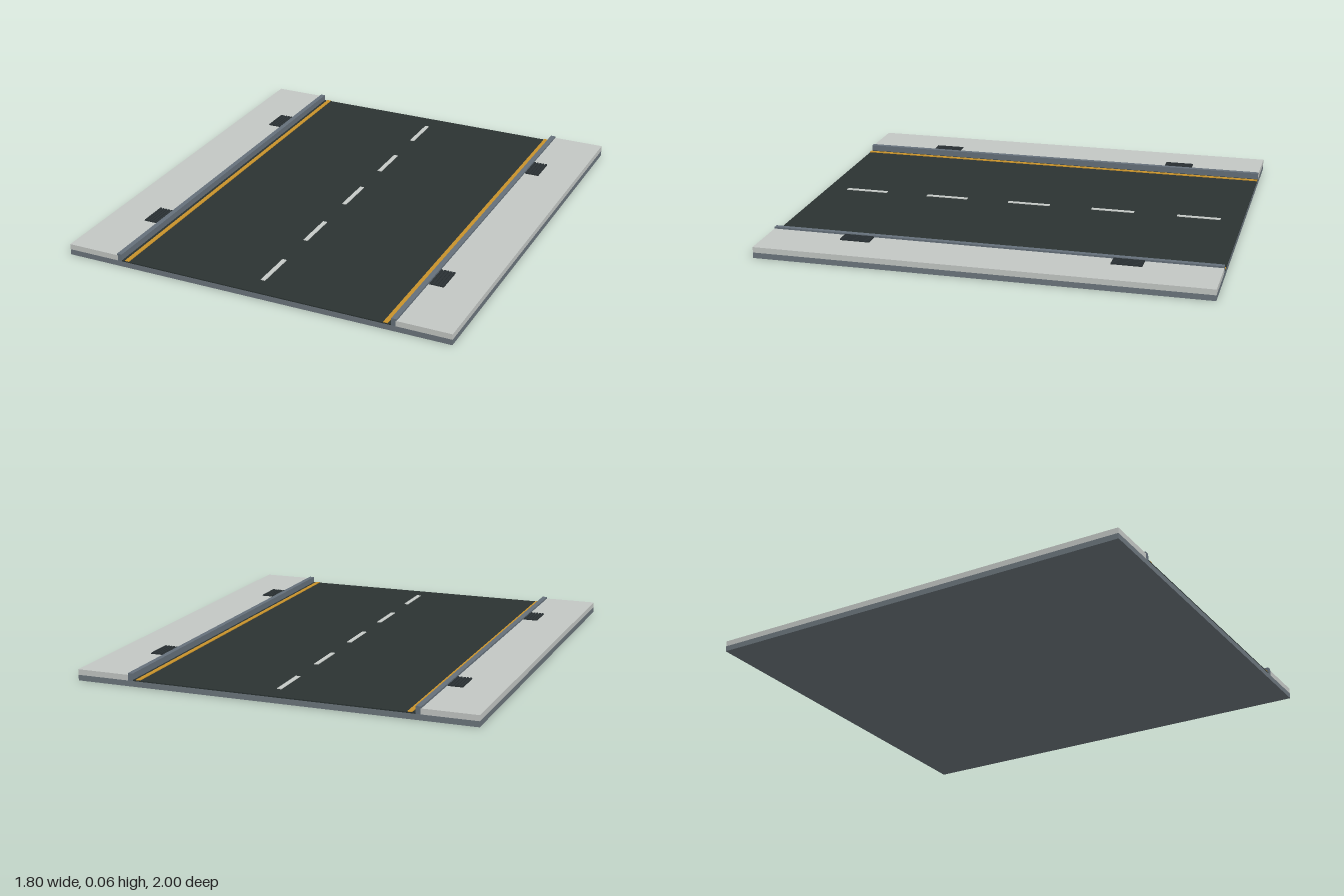
import * as THREE from 'three';

const mat = (name, color) => new THREE.MeshStandardMaterial({ name, color });

export function createModel() {
  const root = new THREE.Group();
  root.name = 'roadSection';

  const foundation = mat('foundation grey', 0x6c767d);
  const asphalt = mat('asphalt', 0x2b3332);
  const concrete = mat('pavement concrete', 0xc3c7c4);
  const kerbStone = mat('kerb stone', 0x65707a);
  const yellow = mat('yellow paint', 0xc8922a);
  const white = mat('white paint', 0xc6cac7);
  const iron = mat('grate iron', 0x2a3134);

  // Box given by its x, y and z ranges
  const box = (name, material, [x0, x1], [y0, y1], [z0, z1], parent = root) => {
    const mesh = new THREE.Mesh(new THREE.BoxGeometry(x1 - x0, y1 - y0, z1 - z0), material);
    mesh.position.set((x0 + x1) / 2, (y0 + y1) / 2, (z0 + z1) / 2);
    mesh.name = name;
    parent.add(mesh);
    return mesh;
  };
  const full = [-1, 1];

  // Foundation slab and carriageway
  box('foundation', foundation, [-0.9, 0.9], [0, 0.025], full);
  box('carriageway', asphalt, [-0.635, 0.635], [0.025, 0.03], full);

  // Dashed centre line
  for (let i = -2; i <= 2; i++) {
    box('centreDash', white, [-0.01, 0.01], [0.03, 0.033], [i * 0.4 - 0.1, i * 0.4 + 0.1]);
  }

  // Pavement, kerb, edge line and drains on each side
  for (const s of [-1, 1]) {
    const span = (a, b) => (s > 0 ? [a, b] : [-b, -a]);
    const side = s > 0 ? 'left' : 'right';
    box(side + 'Pavement', concrete, span(0.655, 0.9), [0.025, 0.05], full);
    box(side + 'Kerb', kerbStone, span(0.635, 0.658), [0.025, 0.058], full);
    box(side + 'EdgeLine', yellow, span(0.6, 0.62), [0.03, 0.033], full);

    for (const z of [-0.6, 0.6]) {
      const grate = new THREE.Group();
      grate.name = side + 'DrainGrate';
      root.add(grate);
      const ends = [z - 0.067, z + 0.067];
      box('grateBed', iron, span(0.66, 0.727), [0.05, 0.052], ends, grate);
      // Raised bars running along the road
      for (let i = 0; i < 5; i++) {
        const x = 0.662 + i * 0.0138;
        box('grateBar', iron, span(x, x + 0.008), [0.052, 0.056], ends, grate);
      }
    }
  }
  return root;
}
